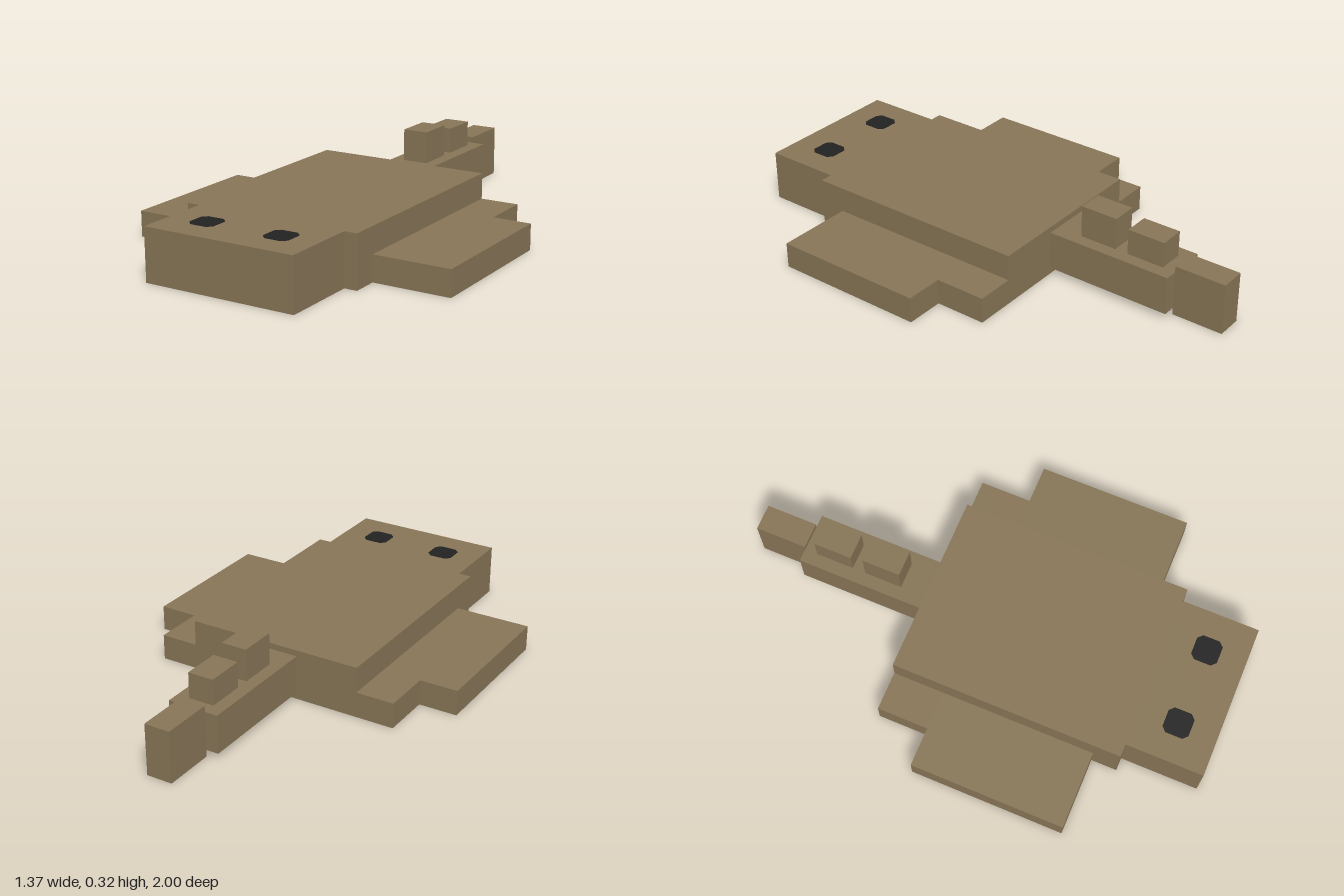
import * as THREE from 'three';

const paint = (name, color) => {
  const m = new THREE.MeshStandardMaterial({ color });
  m.name = name;
  return m;
};

export function createModel() {
  const brown = paint('brown skin', 0x877556);
  const grey = paint('grey belly', 0x94928a);
  const black = paint('black eye', 0x222222);
  const model = new THREE.Group();
  model.name = 'ray';

  // Box given by its limits; an optional second material covers the underside
  function block(name, [x0, x1], [y0, y1], [z0, z1], belly = brown) {
    const geometry = new THREE.BoxGeometry(x1 - x0, y1 - y0, z1 - z0);
    const material = belly === brown ? brown : [brown, brown, brown, belly, brown, brown];
    const mesh = new THREE.Mesh(geometry, material);
    mesh.position.set((x0 + x1) / 2, (y0 + y1) / 2, (z0 + z1) / 2);
    mesh.name = name;
    model.add(mesh);
  }

  // Flat body and head
  block('body', [-0.368, 0.368], [0, 0.21], [-0.263, 0.684], grey);
  block('head', [-0.316, 0.316], [0, 0.21], [0.684, 1], grey);

  // Tail, tail fin and the two small fins on top
  block('tail', [-0.105, 0.105], [0.028, 0.185], [-0.789, -0.263], grey);
  block('tailFin', [-0.053, 0.053], [0, 0.21], [-1, -0.789]);
  block('frontDorsalFin', [-0.053, 0.053], [0.185, 0.316], [-0.526, -0.37]);
  block('rearDorsalFin', [-0.053, 0.053], [0.185, 0.29], [-0.737, -0.58]);

  // Eye outline: a square with clipped corners
  const r = 0.053, c = 0.034;
  const outline = [[c, -r], [r, -c], [r, c], [c, r], [-c, r], [-r, c], [-r, -c], [-c, -r]];
  const eyeShape = new THREE.Shape(outline.map(([x, y]) => new THREE.Vector2(x, y)));
  const eyeGeometry = new THREE.ExtrudeGeometry(eyeShape, { depth: 0.002, bevelEnabled: false });
  eyeGeometry.rotateX(-Math.PI / 2);

  // Side fins and eyes, mirrored
  for (const [side, s] of [['left', 1], ['right', -1]]) {
    const span = (a, b) => (s > 0 ? [a, b] : [-b, -a]);
    block(side + 'Wing', span(0.368, 0.684), [0, 0.105], [-0.053, 0.579]);
    block(side + 'RearFin', span(0.368, 0.526), [0, 0.105], [-0.263, -0.053]);

    const eye = new THREE.Mesh(eyeGeometry, black);
    eye.position.set(s * 0.159, 0.21, 0.841);
    eye.name = side + 'Eye';
    model.add(eye);
  }
  return model;
}
